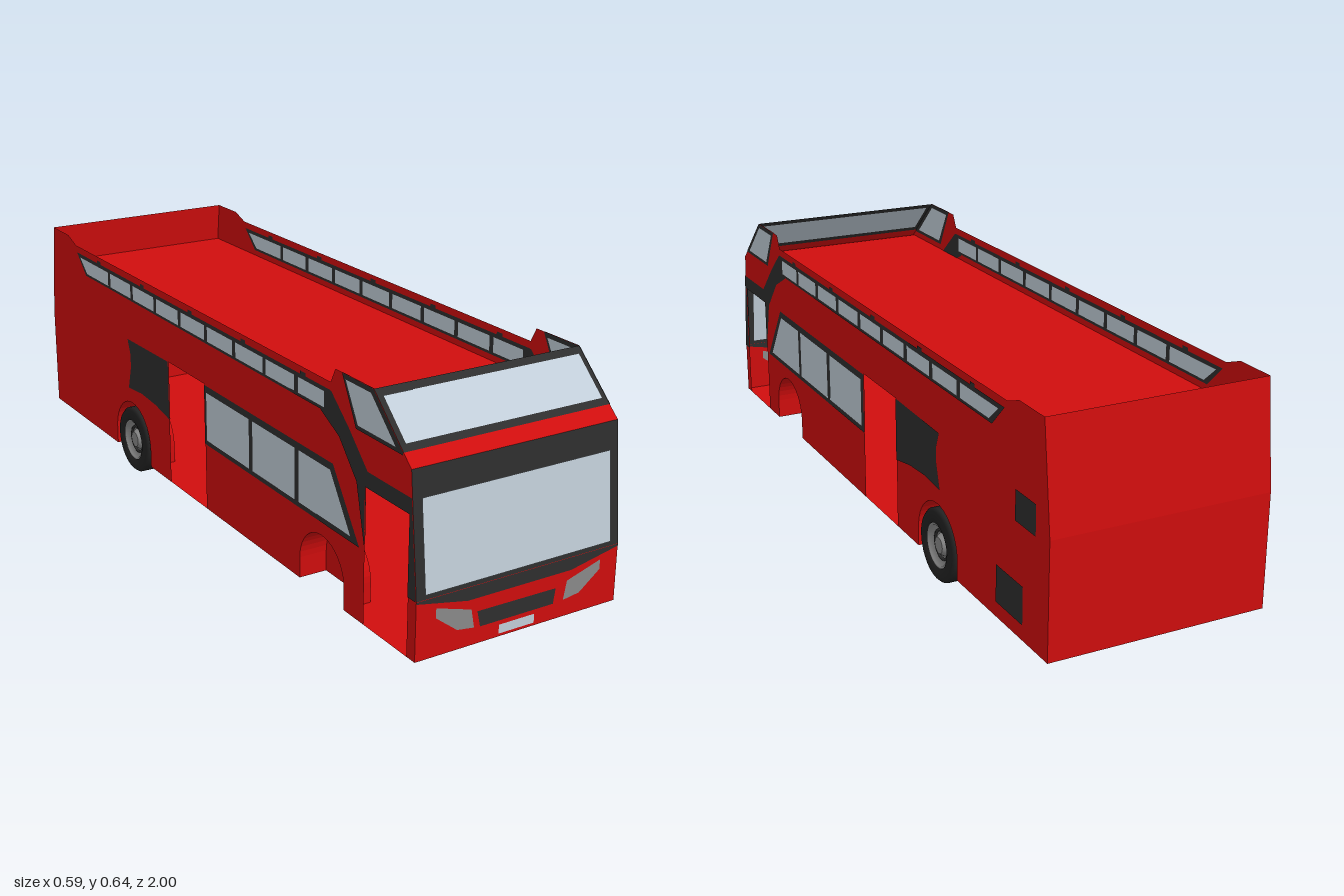
import * as THREE from 'three';

const mat = (name, color) =>
  new THREE.MeshStandardMaterial({ name, color, side: THREE.DoubleSide });

const W = 0.292;      // half width of the side walls
const FLOOR = 0.05, DECK = 0.51;

export function createModel() {
  const bus = new THREE.Group();
  bus.name = 'openTopBus';
  const red = mat('red paint', 0xd00d0d);
  const dark = mat('dark trim', 0x2e2e2e);
  const glass = mat('pale glass', 0xc2ced9);
  const grey = mat('lamp grey', 0x8a8a8a);
  const rubber = mat('tyre black', 0x222222);

  const add = (name, geo, material, parent = bus) => {
    const m = new THREE.Mesh(geo, material);
    m.name = name;
    parent.add(m);
    return m;
  };
  const flat = (pts) =>
    new THREE.ShapeGeometry(new THREE.Shape(pts.map(([a, b]) => new THREE.Vector2(a, b))));

  // Flat panel in the side plane, points given as [z, y]
  const sidePanel = (name, pts, x, material) =>
    add(name, flat(pts).rotateY(-Math.PI / 2).translate(x, 0, 0), material);

  // Thin detail shown on both faces of a side wall
  const sidePlate = (name, pts, s, layer, material) => {
    for (const o of [-1, 1]) sidePanel(name, pts, s * (W + o * 0.0015 * layer), material);
  };

  // Sheet following [z, y] points, spanning x0 to x1
  const sheet = (name, pts, x0, x1, material) => {
    const pos = [];
    for (let i = 0; i < pts.length - 1; i++) {
      const [az, ay] = pts[i], [bz, by] = pts[i + 1];
      pos.push(x0, ay, az, x1, ay, az, x1, by, bz, x0, ay, az, x1, by, bz, x0, by, bz);
    }
    const g = new THREE.BufferGeometry();
    g.setAttribute('position', new THREE.Float32BufferAttribute(pos, 3));
    g.computeVertexNormals();
    return add(name, g, material);
  };

  // Front profile as [z, y], and the nose depth at a height
  const nose = [[0.997, FLOOR], [0.997, 0.2], [0.966, 0.505], [0.935, 0.533], [0.817, 0.643]];
  const noseZ = (y) => {
    for (let i = 1; i < nose.length; i++) {
      const [z0, y0] = nose[i - 1], [z1, y1] = nose[i];
      if (y <= y1 + 1e-6) return z0 + (z1 - z0) * (y - y0) / (y1 - y0);
    }
    return nose[4][0];
  };
  // Thin detail laid on the nose, points given as [x, y]
  const frontPlate = (name, pts, layer, material) => {
    for (const o of [-1, 1]) {
      const g = flat(pts), p = g.attributes.position;
      for (let i = 0; i < p.count; i++) p.setZ(i, noseZ(p.getY(i)) + o * 0.0015 * layer);
      g.computeVertexNormals();
      add(name, g, material);
    }
  };
  const rect = (x0, x1, y0, y1) => [[x0, y0], [x1, y0], [x1, y1], [x0, y1]];

  // Wheel arch outline, front to back
  const arch = (zc, yc, r) => {
    const pts = [[zc + r, FLOOR]];
    for (let i = 0; i <= 20; i++) {
      const a = Math.PI * i / 20;
      pts.push([zc + r * Math.cos(a), yc + r * Math.sin(a)]);
    }
    pts.push([zc - r, FLOOR]);
    return pts;
  };
  const arches = [arch(0.605, 0.105, 0.1), arch(-0.437, 0.1, 0.112)];
  const WELL = 0.215;

  // Shell across the bus: nose, tail, deck
  sheet('frontLowerPanel', nose.slice(0, 2), -W, W, red);
  sheet('windscreenFrame', nose.slice(1, 3), -W, W, dark);
  sheet('frontRedBand', nose.slice(2, 4), -W, W, red);
  sheet('upperWindscreenFrame', nose.slice(3, 5), -W, W, dark);
  sheet('rearPanel', [[-1, FLOOR], [-1, 0.35], [-0.968, 0.625]], -W, W, red);
  sheet('upperDeck', [[0.955, DECK], [-0.981, DECK]], -W, W, red);

  // Floor in strips, narrowed at the wheel wells
  const cuts = [0.997, 0.705, 0.505, -0.325, -0.549, -1];
  for (let i = 0; i < 5; i++) {
    const w = i % 2 ? WELL : W;
    sheet('floor', [[cuts[i], FLOOR], [cuts[i + 1], FLOOR]], -w, w, red);
  }

  // Front details
  frontPlate('windscreenLowerTrim', [[-0.292, 0.195], [-0.15, 0.167], [0.15, 0.167],
    [0.292, 0.195], [0.292, 0.2], [-0.292, 0.2]], 1, dark);
  frontPlate('windscreenGlass', rect(-0.269, 0.267, 0.212, 0.437), 2, glass);
  frontPlate('upperWindscreenGlass', rect(-0.278, 0.278, 0.547, 0.63), 2, glass);
  frontPlate('grille', [[-0.113, 0.092], [0.1, 0.092], [0.106, 0.131], [-0.122, 0.133]], 1, dark);
  frontPlate('numberPlate', rect(-0.058, 0.045, 0.058, 0.081), 1, glass);
  for (const s of [-1, 1]) {
    frontPlate('headlight', [[0.238, 0.172], [0.238, 0.147], [0.178, 0.101], [0.13, 0.094],
      [0.139, 0.142]].map(([x, y]) => [s * x, y]), 1, grey);
  }

  // Side wall outline with door openings and wheel arches
  const wall = [
    [0.997, FLOOR], [0.965, FLOOR], [0.965, 0.4], [0.79, 0.4], [0.79, FLOOR],
    ...arches[0], [0.018, FLOOR], [0.018, 0.41], [-0.195, 0.41], [-0.195, FLOOR],
    ...arches[1], [-1, FLOOR], [-1, 0.35], [-0.968, 0.625], [-0.855, 0.625],
    [-0.8, 0.605], [0.64, 0.605], [0.66, 0.643], ...nose.slice(1).reverse(),
  ];

  // Upper strip glass: divider positions along z
  const dividers = [0.625, 0.49, 0.34, 0.187, 0.035, -0.115, -0.262, -0.41, -0.56];

  for (const s of [-1, 1]) {
    sidePanel('sideWall', wall, s * W, red);

    // Wheel wells
    for (const a of arches) {
      sheet('wheelArch', a, s * WELL, s * W, red);
      sidePanel('wheelWellInner', a, s * WELL, red);
    }

    // Dark band from the windscreen pillar sweeping up to the upper windows
    sidePlate('sweepTrim', [[0.997, 0.2], [0.972, 0.44], [0.8, 0.44], [0.72, 0.52], [0.645, 0.585],
      [0.6, 0.585], [0.6, 0.525], [0.68, 0.485], [0.755, 0.4], [0.79, 0.25], [0.79, 0.4],
      [0.965, 0.4], [0.965, 0.2]], s, 1, dark);

    // Upper front quarter window
    sidePlate('quarterFrame', [[0.935, 0.527], [0.935, 0.533], [0.817, 0.643], [0.69, 0.643],
      [0.75, 0.527]], s, 1, dark);
    sidePlate('quarterGlass', [[0.91, 0.537], [0.81, 0.632], [0.705, 0.632], [0.758, 0.537]],
      s, 2, glass);

    // Upper window strip
    sidePlate('upperWindowFrame', [[0.64, 0.527], [0.64, 0.586], [-0.79, 0.586], [-0.73, 0.527]],
      s, 1, dark);
    dividers.forEach((z, i) => {
      const last = i === dividers.length - 1;
      const top = last ? -0.765 : dividers[i + 1] + 0.008;
      const low = last ? -0.718 : top;
      sidePlate('upperWindowGlass', [[z - 0.008, 0.535], [z - 0.008, 0.576], [top, 0.576],
        [low, 0.535]], s, 2, glass);
    });
    for (let i = 0; i < 5; i++) {
      const z = 0.52 - i * 0.288;
      sidePlate('windowCatch', rect(z - 0.012, z + 0.012, 0.584, 0.594), s, 1, dark);
    }

    // Lower saloon windows
    sidePlate('lowerWindowFrame', [[0.77, 0.24], [0.655, 0.408], [0.018, 0.408], [0.018, 0.24]],
      s, 1, dark);
    sidePlate('lowerWindowGlass', [[0.735, 0.254], [0.645, 0.39], [0.503, 0.39], [0.503, 0.254]],
      s, 2, glass);
    sidePlate('lowerWindowGlass', rect(0.278, 0.485, 0.254, 0.39), s, 2, glass);
    sidePlate('lowerWindowGlass', rect(0.032, 0.26, 0.254, 0.39), s, 2, glass);

    // Dark panel behind the middle door
    sidePlate('rearSidePanel', [[-0.195, 0.24], [-0.195, 0.41], [-0.452, 0.405], [-0.437, 0.365],
      [-0.435, 0.325], [-0.455, 0.255], [-0.37, 0.262], [-0.28, 0.256]], s, 1, dark);

    // Rear wheel
    const wheel = new THREE.Group();
    wheel.name = 'rearWheel';
    wheel.position.set(s * 0.265, 0.097, -0.437);
    wheel.rotation.z = -s * Math.PI / 2;
    bus.add(wheel);
    const lathe = (pts) =>
      new THREE.LatheGeometry(pts.map(([r, y]) => new THREE.Vector2(r, y)), 36);
    add('tyre', lathe([[0, -0.03], [0.09, -0.03], [0.097, -0.022], [0.097, 0.022], [0.09, 0.03],
      [0.06, 0.03], [0.057, 0.012]]), rubber, wheel);
    add('rim', lathe([[0.059, 0.027], [0.054, 0.027], [0.045, 0.012], [0, 0.012]]), grey, wheel);
    add('hubRing', new THREE.TorusGeometry(0.038, 0.004, 8, 32).rotateX(Math.PI / 2)
      .translate(0, 0.014, 0), dark, wheel);
    add('hub', new THREE.CylinderGeometry(0.022, 0.03, 0.012, 24).translate(0, 0.018, 0),
      grey, wheel);
  }

  // Engine vents on the left side only
  sidePlate('upperVent', rect(-0.94, -0.845, 0.335, 0.412), 1, 1, dark);
  sidePlate('lowerVent', rect(-0.885, -0.755, 0.09, 0.187), 1, 1, dark);

  return bus;
}
